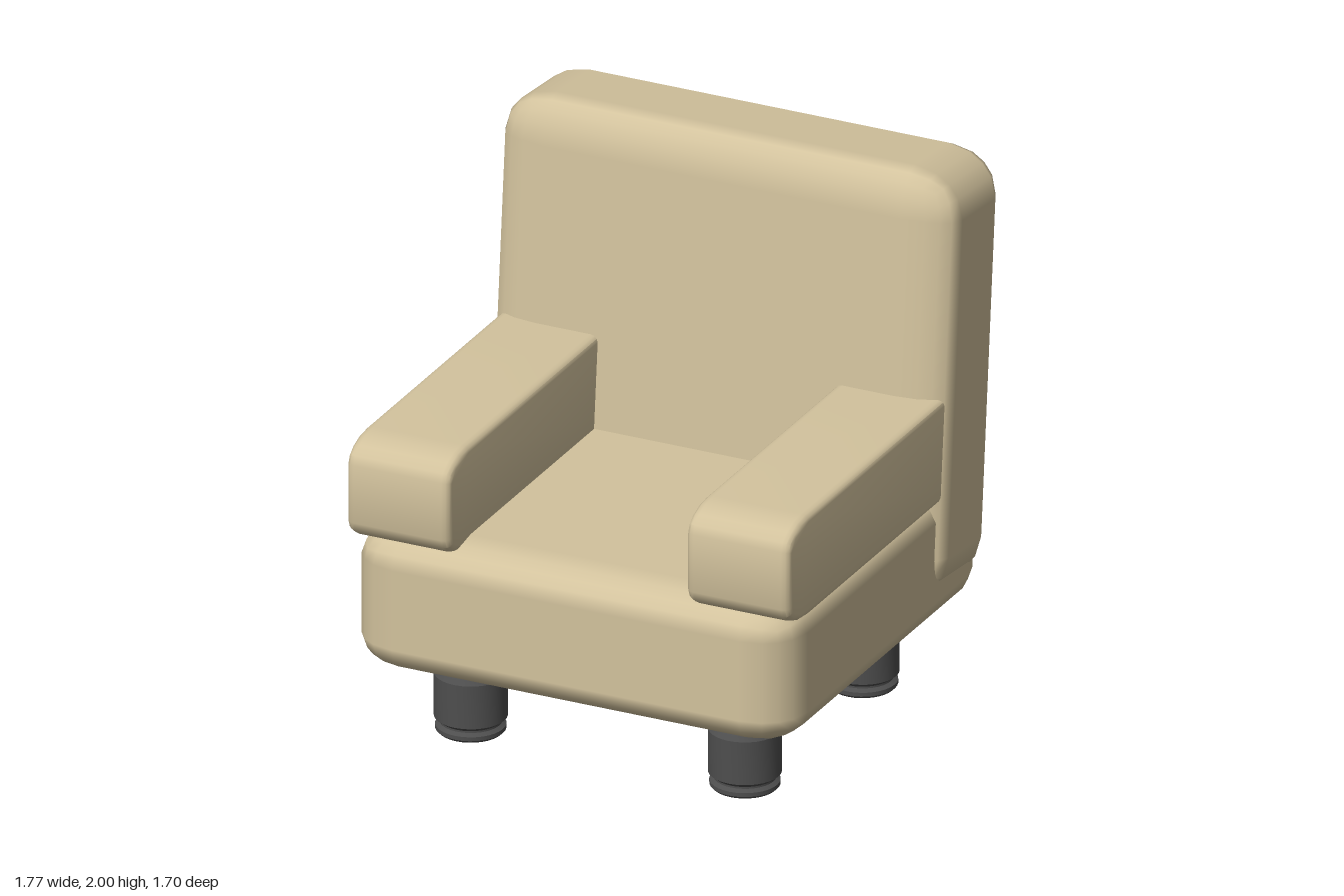
import * as THREE from 'three';
import { toCreasedNormals } from 'three/addons/utils/BufferGeometryUtils.js';
import { RoundedBoxGeometry } from 'three/addons/geometries/RoundedBoxGeometry.js';

const fabric = new THREE.MeshStandardMaterial({ name: 'beige fabric', color: 0xd2c29d });
const plastic = new THREE.MeshStandardMaterial({ name: 'dark grey plastic', color: 0x4e4e4e });

function addMesh(parent, name, geometry, material, x, y, z) {
  const mesh = new THREE.Mesh(geometry, material);
  mesh.name = name;
  mesh.position.set(x, y, z);
  parent.add(mesh);
  return mesh;
}

// Soft slab whose rounding stretches with its size; thickness runs along z
function cushion(width, height, thickness) {
  return new RoundedBoxGeometry(2, 2, 1, 2, 0.215).scale(width / 2, height / 2, thickness);
}

// Armrest: rounded side profile with a narrow bevel along its long edges
function armGeometry(back, front, bottom, top, width) {
  const rz = 0.16, ry = 0.085, k = 0.45, bevel = 0.03;
  const s = new THREE.Shape();
  s.moveTo(back, bottom);
  s.lineTo(front - rz, bottom);
  s.bezierCurveTo(front - rz * k, bottom, front, bottom + ry * k, front, bottom + ry);
  s.lineTo(front, top - ry);
  s.bezierCurveTo(front, top - ry * k, front - rz * k, top, front - rz, top);
  s.lineTo(back, top);
  s.closePath();
  const g = new THREE.ExtrudeGeometry(s, {
    depth: width - 2 * bevel, curveSegments: 4,
    bevelThickness: bevel, bevelSize: 0.025, bevelOffset: -0.025, bevelSegments: 3,
  });
  g.translate(0, 0, bevel - width / 2).rotateY(-Math.PI / 2);
  return toCreasedNormals(g, 0.6);
}

// Turned leg: foot disc, groove, wide body and narrower neck
function legGeometry() {
  const profile = [
    [0, 0], [0.115, 0], [0.125, 0.01], [0.125, 0.025], [0.11, 0.035], [0.11, 0.042],
    [0.13, 0.058], [0.13, 0.222], [0.118, 0.24], [0.106, 0.245], [0.106, 0.36],
  ].map(([r, y]) => new THREE.Vector2(r, y));
  return toCreasedNormals(new THREE.LatheGeometry(profile, 32), 0.5);
}

export function createModel() {
  const chair = new THREE.Group();
  chair.name = 'armchair';

  // Seat cushion
  addMesh(chair, 'seat', cushion(1.715, 1.62, 0.535).rotateX(-Math.PI / 2), fabric, 0, 0.568, 0.045);

  // Reclined backrest with four fasteners on its rear face
  const backrest = new THREE.Group();
  backrest.name = 'backrest';
  backrest.position.set(0, 1.19, -0.562);
  backrest.rotation.x = -0.09;
  chair.add(backrest);
  addMesh(backrest, 'backCushion', cushion(1.775, 1.6, 0.458), fabric, 0, 0, 0);
  const disc = new THREE.CylinderGeometry(0.032, 0.032, 0.008, 20).rotateX(Math.PI / 2);
  for (const x of [-0.5, 0.5]) {
    for (const y of [-0.5, 0.4]) addMesh(backrest, 'fastener', disc, plastic, x, y, -0.23);
  }

  // Armrests
  const arm = armGeometry(-0.5, 0.855, 0.79, 1.18, 0.4);
  addMesh(chair, 'leftArmrest', arm, fabric, 0.668, 0, 0);
  addMesh(chair, 'rightArmrest', arm, fabric, -0.652, 0, 0);

  // Legs
  const leg = legGeometry();
  for (const x of [-0.535, 0.53]) {
    addMesh(chair, 'frontLeg', leg, plastic, x, 0, 0.51);
    addMesh(chair, 'backLeg', leg, plastic, x, 0, -0.425);
  }
  return chair;
}
